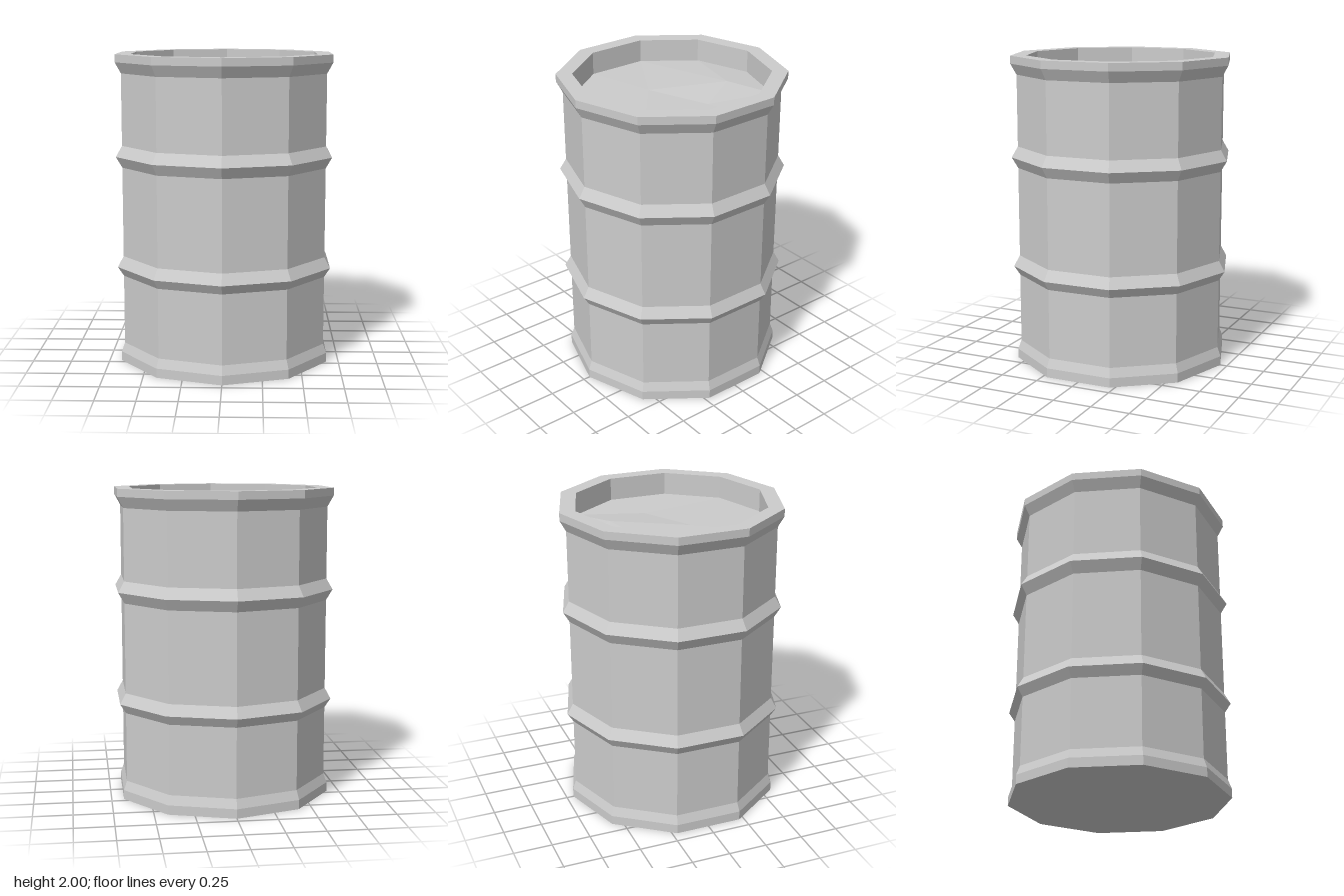
import * as THREE from 'three';

const SIDES = 10;
const LID_RADIUS = 0.62;
const LID_Y = 1.855;

export function createModel() {
  const model = new THREE.Group();
  model.name = 'barrel';
  const metal = new THREE.MeshStandardMaterial({ color: 0xcccccc, flatShading: true });

  const add = (name, geometry) => {
    const flat = geometry.index ? geometry.toNonIndexed() : geometry;
    flat.computeVertexNormals();
    const mesh = new THREE.Mesh(flat, metal);
    mesh.name = name;
    model.add(mesh);
  };

  // Shell: foot, two raised hoops, flared rim and the recessed inner wall
  const profile = [
    [0.705, 0], [0.705, 0.06], [0.683, 0.12],
    [0.683, 0.57], [0.722, 0.63], [0.683, 0.7],
    [0.683, 1.28], [0.724, 1.35], [0.683, 1.42],
    [0.683, 1.88], [0.722, 1.95], [0.722, 2],
    [LID_RADIUS, 2], [LID_RADIUS, LID_Y],
  ].map(([r, y]) => new THREE.Vector2(r, y));
  add('shell', new THREE.LatheGeometry(profile, SIDES));

  // Flat underside
  const base = new THREE.CircleGeometry(0.705, SIDES, Math.PI / 2);
  base.rotateX(Math.PI / 2);
  add('base', base);

  // Slightly dented lid: a ring of rim corners plus three inner points
  const points = [];
  for (let i = 0; i < SIDES; i++) {
    const a = (i / SIDES) * Math.PI * 2;
    points.push(LID_RADIUS * Math.sin(a), LID_Y, LID_RADIUS * Math.cos(a));
  }
  const [A, B, C] = [SIDES, SIDES + 1, SIDES + 2];
  points.push(0.09, LID_Y + 0.025, -0.37, -0.13, LID_Y + 0.01, 0.09, 0.25, LID_Y - 0.005, -0.08);
  const faces = [A, B, C, A, C, 4, A, 7, B, B, 1, C];
  // Each inner point fans out to its own stretch of the rim
  for (const [centre, from, to] of [[C, 1, 4], [A, 4, 7], [B, 7, 11]]) {
    for (let i = from; i < to; i++) faces.push(centre, i % SIDES, (i + 1) % SIDES);
  }
  const lid = new THREE.BufferGeometry();
  lid.setAttribute('position', new THREE.Float32BufferAttribute(points, 3));
  lid.setIndex(faces);
  add('lid', lid);

  return model;
}
